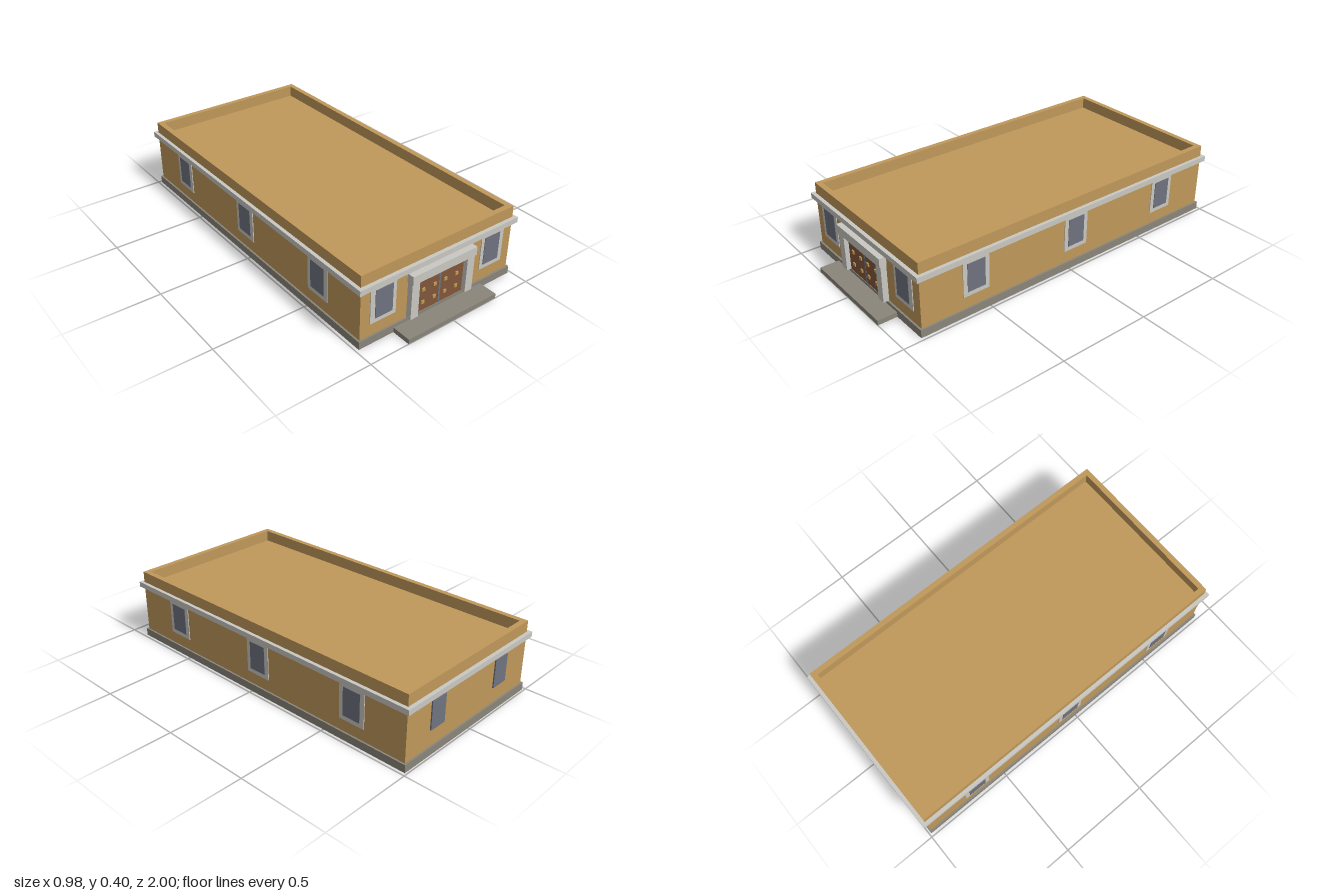
import * as THREE from 'three';

const material = (name, color) => {
  const m = new THREE.MeshStandardMaterial({ color });
  m.name = name;
  return m;
};

export function createModel() {
  const ochre = material('ochre plaster', 0xc0985a);
  const trim = material('pale stone trim', 0xcac8c2);
  const stone = material('grey stone', 0x8a857a);
  const glass = material('slate glass', 0x6f7380);
  const wood = material('brown wood', 0x82563b);
  const brass = material('brass', 0xc09a55);

  const model = new THREE.Group();
  model.name = 'building';

  // Box given by its minimum and maximum corners
  const box = (name, mat, [x0, y0, z0], [x1, y1, z1], parent = model) => {
    const mesh = new THREE.Mesh(new THREE.BoxGeometry(x1 - x0, y1 - y0, z1 - z0), mat);
    mesh.position.set((x0 + x1) / 2, (y0 + y1) / 2, (z0 + z1) / 2);
    mesh.name = name;
    parent.add(mesh);
    return mesh;
  };

  const rect = (Type, w, h) => {
    const p = new Type();
    p.moveTo(-w, -h);
    p.lineTo(w, -h);
    p.lineTo(w, h);
    p.lineTo(-w, h);
    p.closePath();
    return p;
  };

  // Rectangular ring round the building, from half sizes
  const midZ = -0.0475;
  const ring = (name, mat, w, d, iw, id, y0, y1) => {
    const shape = rect(THREE.Shape, w, d);
    shape.holes.push(rect(THREE.Path, iw, id));
    const geo = new THREE.ExtrudeGeometry(shape, { depth: y1 - y0, bevelEnabled: false });
    geo.rotateX(-Math.PI / 2);
    const mesh = new THREE.Mesh(geo, mat);
    mesh.position.set(0, y0, midZ);
    mesh.name = name;
    model.add(mesh);
  };

  // Main mass
  box('plinth', stone, [-0.483, 0, -0.99], [0.483, 0.042, 0.895]);
  box('walls', ochre, [-0.473, 0.042, -0.98], [0.473, 0.333, 0.885]);
  ring('parapet', ochre, 0.473, 0.9325, 0.443, 0.9025, 0.333, 0.395);
  ring('cornice', trim, 0.492, 0.9525, 0.472, 0.9315, 0.305, 0.334);
  box('frontStep', stone, [-0.28, 0, 0.89], [0.28, 0.026, 1]);

  // Windows, built facing +z at the wall surface
  const addWindow = (name, x, z, angle, framed = true, shift = 0) => {
    const g = new THREE.Group();
    g.name = name;
    if (framed) box('windowFrame', trim, [-0.075, 0.107, -0.01], [0.075, 0.305, 0.004], g);
    box('windowPane', glass, [-0.051 + shift, 0.131, -0.002], [0.051 + shift, 0.284, 0.0065], g);
    g.position.set(x, 0, z);
    g.rotation.y = angle;
    model.add(g);
  };
  for (const s of [-1, 1]) {
    addWindow('frontWindow', s * 0.3425, 0.885, 0, true, -s * 0.003);
    addWindow('backWindow', s * 0.25, -0.98, Math.PI, false);
    for (const z of [0.577, -0.045, -0.668]) addWindow('sideWindow', s * 0.473, z, s * Math.PI / 2);
  }

  // Entrance portal and double door
  const entrance = new THREE.Group();
  entrance.name = 'entrance';
  model.add(entrance);
  box('lintel', trim, [-0.201, 0.243, 0.88], [0.201, 0.29, 0.923], entrance);
  box('doorGap', glass, [-0.006, 0.042, 0.88], [0.006, 0.243, 0.893], entrance);
  for (const s of [-1, 1]) {
    const span = (a, b) => (s > 0 ? [a, b] : [-b, -a]);
    const [p0, p1] = span(0.151, 0.197);
    box('doorPillar', trim, [p0, 0.042, 0.88], [p1, 0.243, 0.916], entrance);
    const [d0, d1] = span(0.006, 0.151);
    box('doorLeaf', wood, [d0, 0.042, 0.88], [d1, 0.243, 0.892], entrance);
    for (const x of [0.034, 0.106]) {
      for (const y of [0.092, 0.164]) {
        box('doorStud', brass, [s * x - 0.009, y - 0.009, 0.89], [s * x + 0.009, y + 0.009, 0.898], entrance);
      }
    }
  }

  return model;
}
